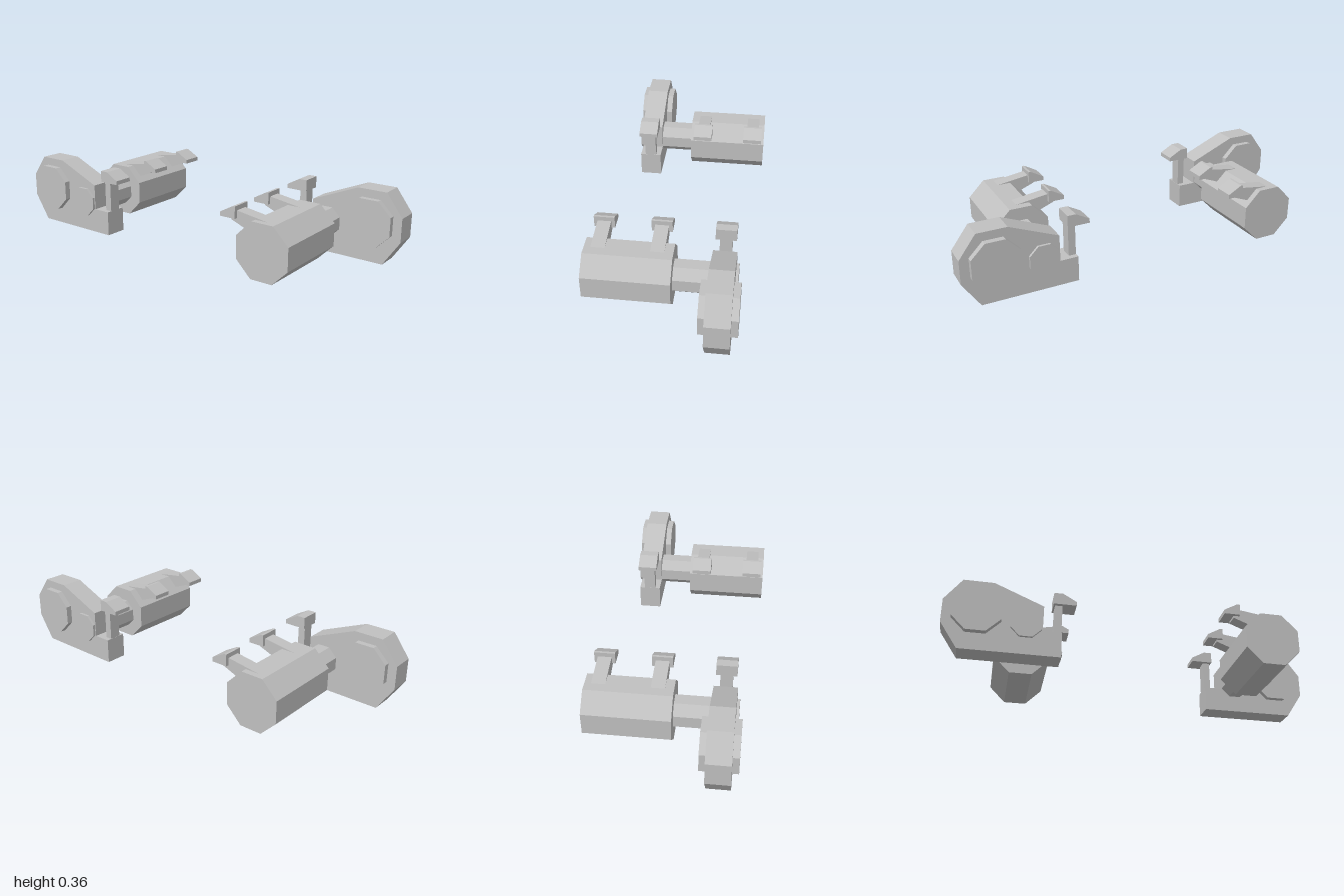
import * as THREE from 'three';

export function createModel() {
  const grey = new THREE.MeshStandardMaterial({ color: 0xc0c0c0 });
  grey.name = 'plainGrey';

  // Extrudes a (z, y) profile along x from x0 to x1.
  function profile(name, points, x0, x1) {
    const shape = new THREE.Shape(points.map(([z, y]) => new THREE.Vector2(z, y)));
    const geo = new THREE.ExtrudeGeometry(shape, { depth: x1 - x0, bevelEnabled: false });
    geo.rotateY(-Math.PI / 2);
    geo.translate(x1, 0, 0);
    const mesh = new THREE.Mesh(geo, grey);
    mesh.name = name;
    return mesh;
  }

  // Flat-topped octagonal drum lying along x; half is its half height.
  function octagon(name, z, y, half, x0, x1) {
    const points = [];
    for (let i = 0; i < 8; i++) {
      const a = (i + 0.5) * Math.PI / 4, r = half / Math.cos(Math.PI / 8);
      points.push([z + r * Math.cos(a), y + r * Math.sin(a)]);
    }
    return profile(name, points, x0, x1);
  }

  // Wedge-shaped pad, sloping down towards the open middle.
  function pad(name, zBack, x) {
    return profile(name, [
      [zBack, 0.289], [zBack, 0.348], [0.435, 0.348], [0.366, 0.31], [0.366, 0.289],
    ], x - 0.05, x + 0.05);
  }

  function createUnit(name) {
    const unit = new THREE.Group();
    unit.name = name;

    // Motor body and its drive shaft
    unit.add(octagon('motorBody', 0.603, 0.1645, 0.1375, -0.395, 0.02));
    unit.add(octagon('driveShaft', 0.603, 0.162, 0.074, 0.01, 0.32));

    // Side housing with the wheel hub passing through it
    unit.add(profile('sideHousing', [
      [0.432, 0], [0.915, 0], [1, 0.129], [1, 0.249], [0.915, 0.363],
      [0.767, 0.363], [0.524, 0.262], [0.524, 0.129], [0.432, 0.129],
    ], 0.193, 0.307));
    unit.add(octagon('wheelHub', 0.838, 0.204, 0.117, 0.163, 0.338));

    // Upright post carrying a pad
    unit.add(profile('post', [
      [0.433, 0.12], [0.47, 0.12], [0.47, 0.295], [0.433, 0.295],
    ], 0.22, 0.28));
    unit.add(pad('postPad', 0.478, 0.25));

    // Two tilted arms carrying pads
    for (const x of [-0.331, -0.055]) {
      unit.add(profile('arm', [
        [0.417, 0.278], [0.417, 0.33], [0.62, 0.301], [0.6, 0.26], [0.49, 0.25],
      ], x - 0.033, x + 0.033));
      unit.add(pad('armPad', 0.447, x));
    }
    return unit;
  }

  // Two identical units facing each other
  const model = new THREE.Group();
  model.name = 'pairedDriveUnits';
  const back = createUnit('backUnit');
  back.rotation.y = Math.PI;
  model.add(createUnit('frontUnit'), back);
  return model;
}
